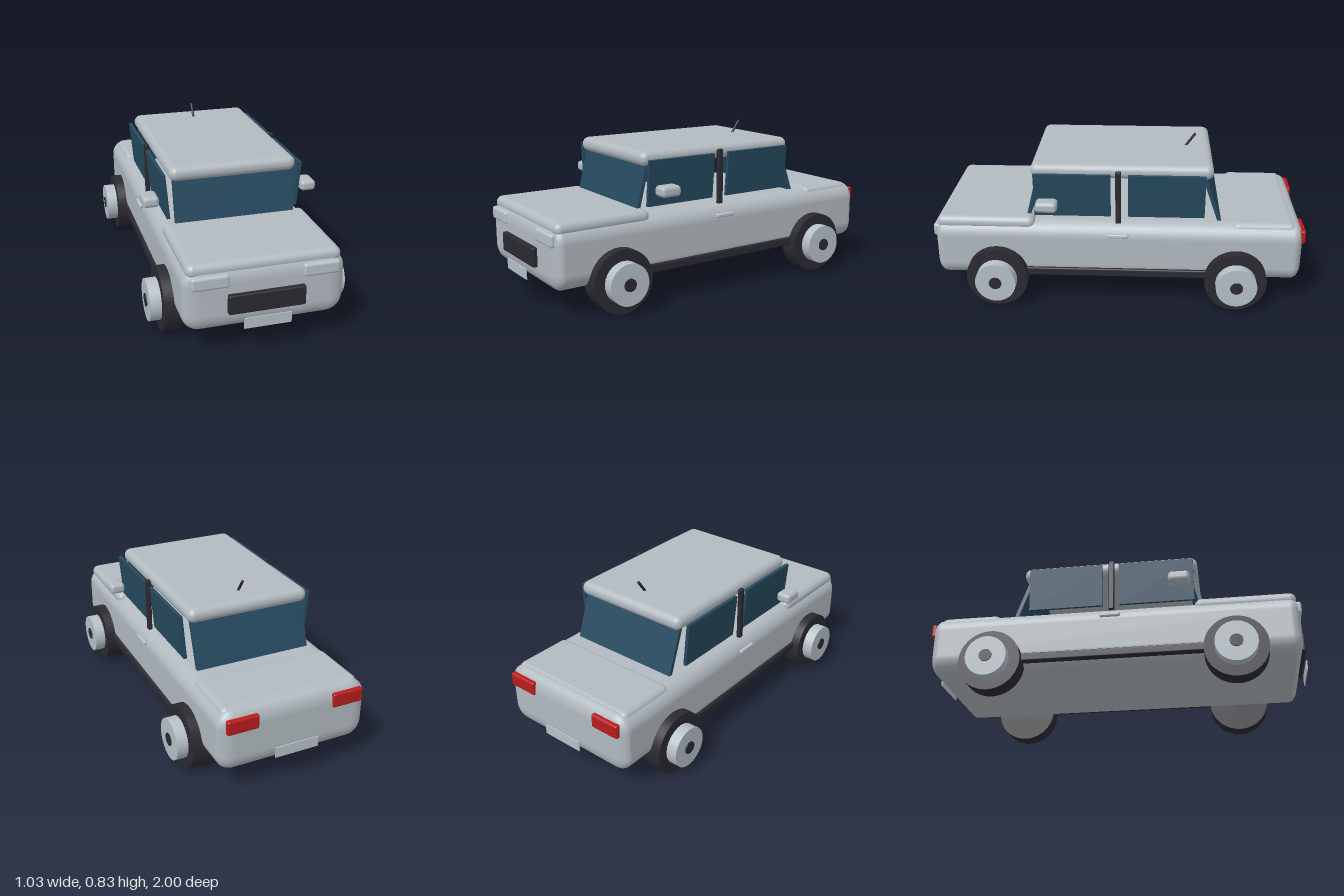
import * as THREE from 'three';
import { RoundedBoxGeometry } from 'three/addons/geometries/RoundedBoxGeometry.js';

export function createModel() {
  const car = new THREE.Group();
  car.name = 'car';

  const material = (name, color) => {
    const m = new THREE.MeshStandardMaterial({ color });
    m.name = name;
    return m;
  };
  const paint = material('silverPaint', 0xb2bac0);
  const metal = material('brightMetal', 0xb6c0c8);
  const glass = material('blueGlass', 0x264a60);
  const black = material('blackTrim', 0x2b2a32);
  const red = material('redLens', 0xb81c1c);

  const add = (name, geometry, mat, x, y, z) => {
    const mesh = new THREE.Mesh(geometry, mat);
    mesh.name = name;
    mesh.position.set(x, y, z);
    car.add(mesh);
    return mesh;
  };

  // Rounded block given by its extents; zScale shortens the rounding along z
  const block = (name, mat, [x0, x1], [y0, y1], [z0, z1], r, zScale = 1) => {
    const g = new RoundedBoxGeometry(x1 - x0, y1 - y0, (z1 - z0) / zScale, 5, r);
    g.scale(1, 1, zScale);
    return add(name, g, mat, (x0 + x1) / 2, (y0 + y1) / 2, (z0 + z1) / 2);
  };

  // Thin pane between two points (y, z) of the car's side profile
  const screen = (name, yA, zA, yB, zB) => {
    const length = Math.hypot(yB - yA, zB - zA);
    const g = new THREE.BoxGeometry(0.63, length, 0.02);
    const pane = add(name, g, glass, 0, (yA + yB) / 2, (zA + zB) / 2);
    pane.rotation.x = Math.atan2(zB - zA, yB - yA);
  };

  // Main shell, bonnet, boot lid and roof
  block('body', paint, [-0.4, 0.4], [0.14, 0.46], [-0.975, 0.97], 0.085, 0.6);
  block('bonnet', paint, [-0.38, 0.38], [0.41, 0.482], [0.435, 0.955], 0.035);
  block('bootLid', paint, [-0.37, 0.37], [0.395, 0.466], [-0.935, -0.605], 0.034);
  block('roof', paint, [-0.333, 0.333], [0.688, 0.765], [-0.497, 0.455], 0.037);

  // Front and rear glass
  screen('windscreen', 0.45, 0.477, 0.725, 0.408);
  screen('rearWindow', 0.45, -0.538, 0.715, -0.445);

  // Grille and number plates
  block('grille', black, [-0.19, 0.19], [0.228, 0.328], [0.955, 0.995], 0.008);
  add('frontPlate', new THREE.BoxGeometry(0.234, 0.055, 0.006), metal, 0, 0.178, 0.999);
  add('rearPlate', new THREE.BoxGeometry(0.234, 0.055, 0.006), metal, 0, 0.203, -0.997);

  // Aerial leaning backwards
  const aerial = add('aerial', new THREE.CylinderGeometry(0.007, 0.007, 0.1, 12), black, 0, 0.79, -0.378);
  aerial.rotation.x = -0.62;

  for (const s of [1, -1]) {
    const side = s > 0 ? 'left' : 'right';
    const span = (a, b) => (s > 0 ? [a, b] : [-b, -a]);

    // Lamps
    block(side + 'Headlamp', metal, span(0.18, 0.365), [0.362, 0.43], [0.93, 0.978], 0.015);
    block(side + 'TailLamp', red, span(0.2, 0.365), [0.356, 0.43], [-0.986, -0.956], 0.01);

    // Side windows leaning outwards at the top
    for (const [end, z] of [['Front', 0.235], ['Rear', -0.255]]) {
      const g = new THREE.BoxGeometry(0.017, 0.238, 0.4);
      const pane = add(side + end + 'Window', g, glass, s * 0.35, 0.608, z);
      pane.rotation.z = -s * 0.09;
    }

    // Door pillar, mirror, handle and sill strip
    block(side + 'Pillar', black, span(0.345, 0.368), [0.455, 0.745], [-0.02, 0.01], 0.005);
    block(side + 'Mirror', paint, span(0.38, 0.463), [0.55, 0.606], [0.305, 0.418], 0.02);
    block(side + 'Handle', metal, span(0.395, 0.415), [0.39, 0.412], [-0.06, 0.048], 0.008);
    block(side + 'Sill', black, span(0.37, 0.413), [0.163, 0.208], [-0.5, 0.5], 0.008);

    // Wheels: tyre, projecting hub and centre cap
    for (const [end, z] of [['Front', 0.636], ['Rear', -0.627]]) {
      const disc = (part, mat, r, x0, x1) => {
        const g = new THREE.CylinderGeometry(r, r, x1 - x0, 40);
        g.rotateZ(Math.PI / 2);
        add(side + end + part, g, mat, s * (x0 + x1) / 2, 0.163, z);
      };
      disc('Tyre', black, 0.163, 0.35, 0.45);
      disc('Hub', metal, 0.107, 0.4, 0.508);
      disc('HubCap', black, 0.033, 0.48, 0.513);
    }
  }
  return car;
}
